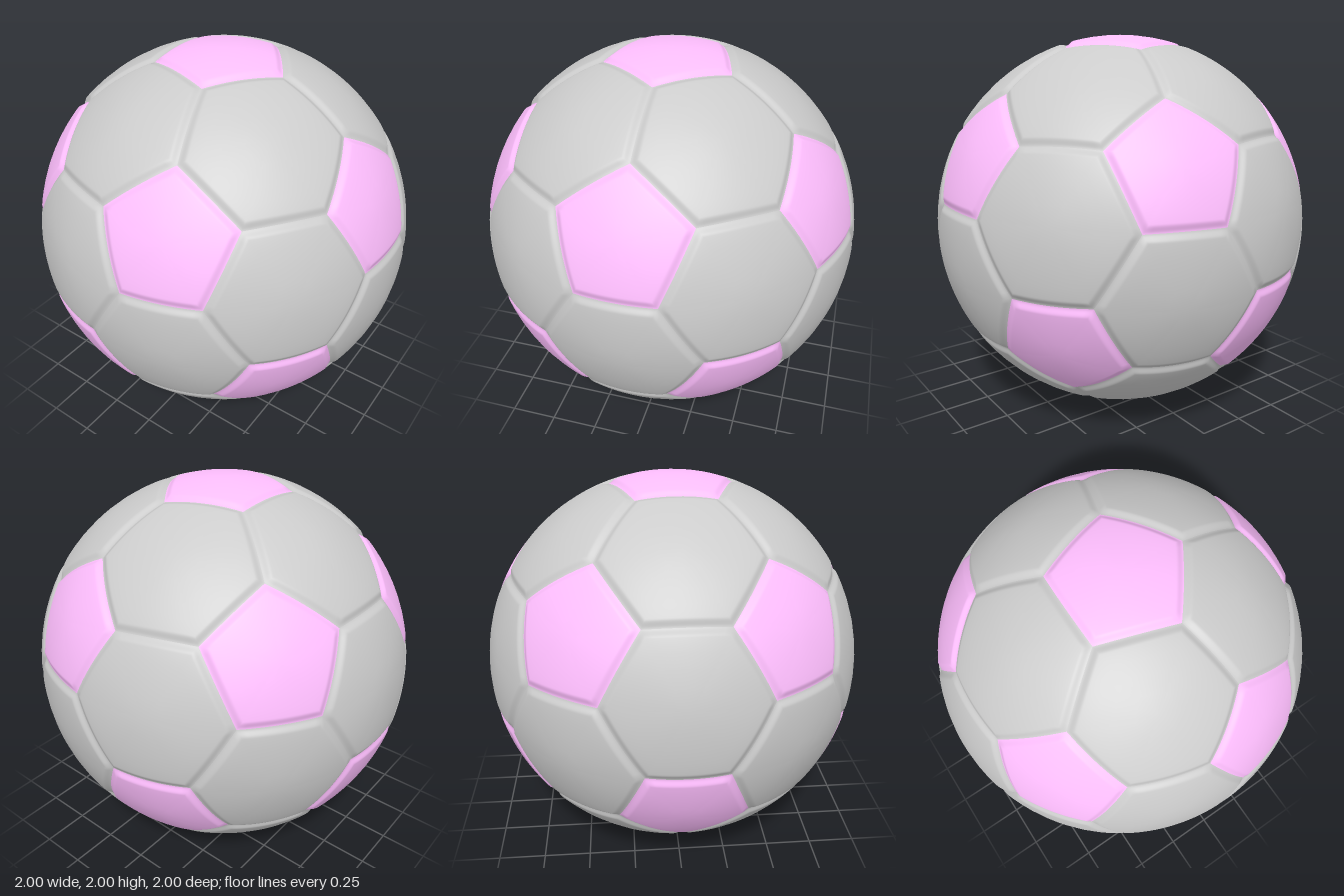
import * as THREE from 'three';
import { mergeVertices } from 'three/addons/utils/BufferGeometryUtils.js';

const SEAM_WIDTH = 0.04; // half width of the groove
const SEAM_DEPTH = 0.014;
const COLS = 12; // divisions along each panel side
const RINGS = [0, 0.25, 0.5, 0.7, 0.8];
for (let i = 0; i <= 10; i++) RINGS.push(0.84 + 0.016 * i);

// The 12 icosahedron corners: two poles and two staggered rings
function icosahedronCorners() {
  const pts = [new THREE.Vector3(0, 1, 0), new THREE.Vector3(0, -1, 0)];
  const y = 1 / Math.sqrt(5), r = 2 * y;
  for (let k = 0; k < 5; k++) {
    for (const side of [1, -1]) {
      const a = (k * 72 + (side > 0 ? 0 : 36)) * Math.PI / 180;
      pts.push(new THREE.Vector3(r * Math.cos(a), side * y, r * Math.sin(a)));
    }
  }
  return pts;
}

// Corner of a panel, one third of the way from a to b
const third = (a, b) => a.clone().multiplyScalar(2).add(b).normalize();

// Order corners counter-clockwise around the panel centre
function sortAround(center, corners) {
  const u = corners[0].clone().cross(center).normalize();
  const w = center.clone().cross(u);
  const angle = (p) => Math.atan2(p.dot(w), p.dot(u));
  return corners.sort((p, q) => angle(p) - angle(q));
}

// Spherical panel whose rim sinks softly into the seam
function panelGeometry(center, corners) {
  const pos = [], index = [];
  const mid = corners.reduce((s, c) => s.add(c), new THREE.Vector3()).divideScalar(corners.length);
  sortAround(center, corners).forEach((a, n) => {
    const b = corners[(n + 1) % corners.length];
    const inward = a.clone().cross(b).normalize();
    const base = pos.length / 3;
    RINGS.forEach((t, i) => {
      for (let j = 0; j <= COLS; j++) {
        const p = mid.clone().lerp(a.clone().lerp(b, j / COLS), t).normalize();
        const fall = 1 - THREE.MathUtils.smoothstep(p.dot(inward), 0, SEAM_WIDTH);
        p.multiplyScalar(1 - SEAM_DEPTH * fall);
        pos.push(p.x, p.y, p.z);
        if (i === 0 || j === COLS) continue;
        const q = base + i * (COLS + 1) + j, inner = q - COLS - 1;
        index.push(inner, q, q + 1);
        if (i > 1) index.push(inner, q + 1, inner + 1);
      }
    });
  });
  let geo = new THREE.BufferGeometry();
  geo.setAttribute('position', new THREE.Float32BufferAttribute(pos, 3));
  geo.setIndex(index);
  geo = mergeVertices(geo, 1e-5);
  geo.computeVertexNormals();
  return geo;
}

export function createModel() {
  const model = new THREE.Group();
  model.name = 'ball';
  const grey = new THREE.MeshStandardMaterial({ color: 0xcccccc });
  const pink = new THREE.MeshStandardMaterial({ color: 0xffbfff });
  const pts = icosahedronCorners();
  const near = (a, b) => a !== b && a.distanceTo(b) < 1.1;

  const addPanel = (name, material, center, corners) => {
    const mesh = new THREE.Mesh(panelGeometry(center, corners), material);
    mesh.name = name;
    mesh.position.y = 1;
    model.add(mesh);
  };

  // Pentagons sit on the icosahedron corners
  for (const v of pts) {
    addPanel('pentagonPanel', pink, v, pts.filter((p) => near(p, v)).map((p) => third(v, p)));
  }

  // Hexagons sit on the icosahedron faces
  pts.forEach((a, i) => pts.forEach((b, j) => pts.forEach((c, k) => {
    if (!(i < j && j < k && near(a, b) && near(b, c) && near(a, c))) return;
    const center = a.clone().add(b).add(c).normalize();
    const corners = [[a, b], [b, a], [b, c], [c, b], [c, a], [a, c]].map(([p, q]) => third(p, q));
    addPanel('hexagonPanel', grey, center, corners);
  })));

  return model;
}
